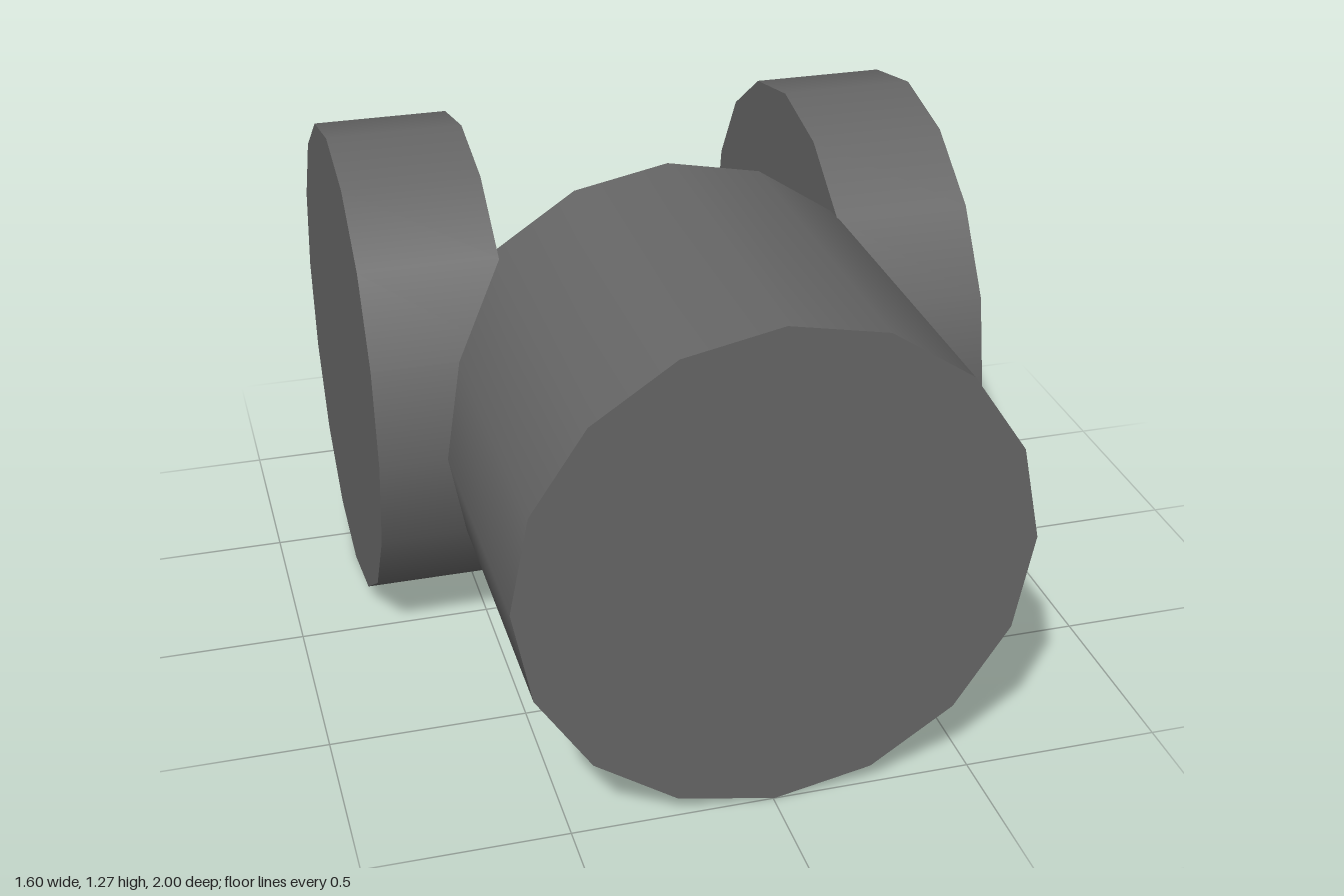
import * as THREE from 'three';

const RADIUS = 0.633;
const SIDES = 16;

export function createModel() {
  const group = new THREE.Group();
  const material = new THREE.MeshStandardMaterial({ color: 0x666666 });

  // Capped 16-sided drum resting on the ground
  const drum = (name, length, x, z) => {
    const mesh = new THREE.Mesh(new THREE.CylinderGeometry(RADIUS, RADIUS, length, SIDES), material);
    mesh.name = name;
    mesh.position.set(x, RADIUS, z);
    group.add(mesh);
    return mesh;
  };

  // Long front barrel, axis along z
  drum('frontBarrel', 0.97, 0.004, 0.515).rotation.x = Math.PI / 2;

  // Pair of rear wheels, axis along x
  for (const side of [1, -1]) {
    const wheel = drum(side > 0 ? 'leftWheel' : 'rightWheel', 0.355, side * 0.6235, -0.367);
    wheel.rotation.z = -side * Math.PI / 2;
  }

  return group;
}
